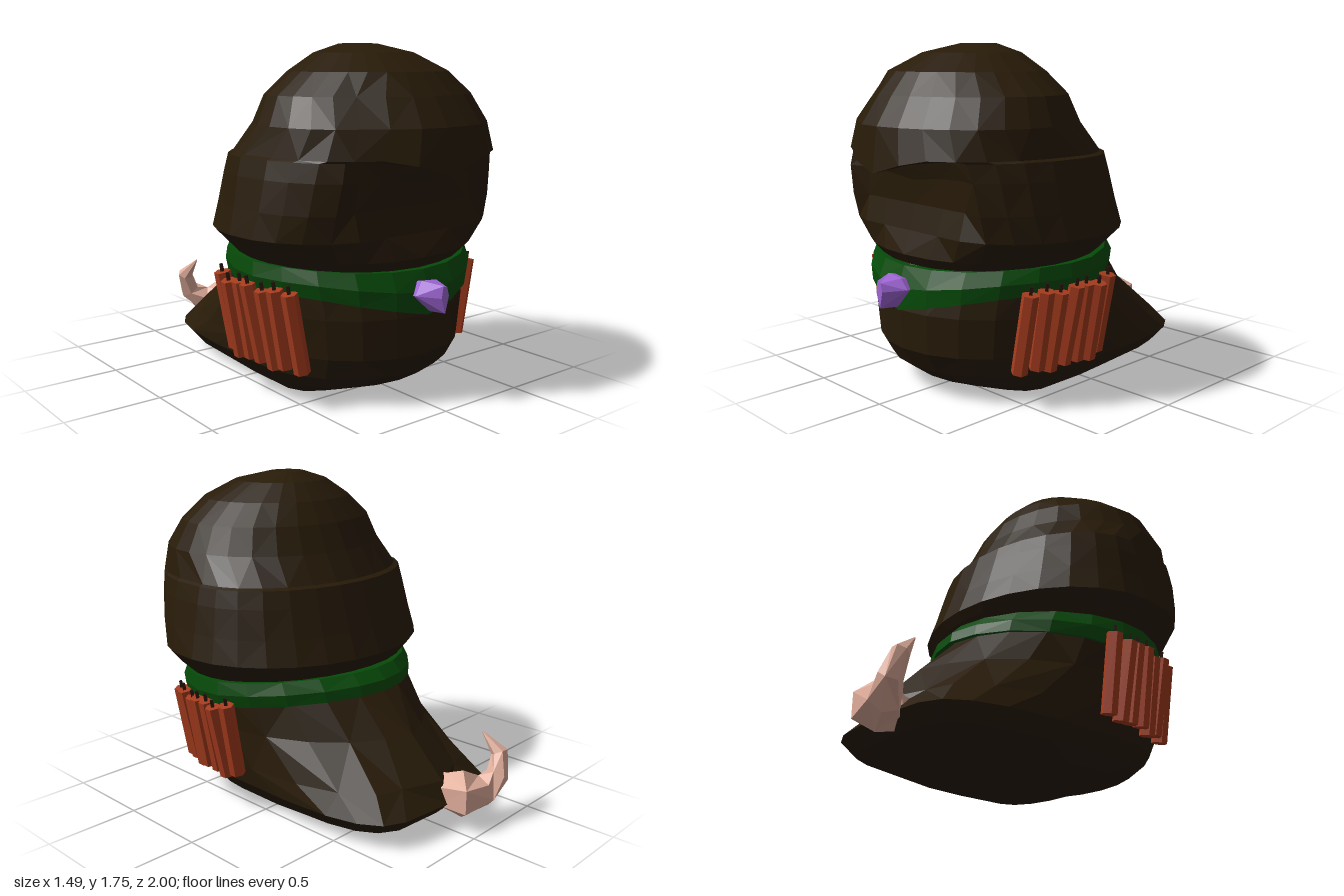
import * as THREE from 'three';

const paint = (name, color) => Object.assign(new THREE.MeshStandardMaterial({ color }), { name });
const V = (x, y, z) => new THREE.Vector3(x, y, z);

// Faceted closed skin through rings of points; corner order is made to face outward
function loft(rings) {
  const n = rings[0].length, tris = [];
  const mid = (r) => r.reduce((s, p) => s.add(p), V(0, 0, 0)).divideScalar(r.length);
  for (let i = 0; i < rings.length - 1; i++) {
    for (let j = 0; j < n; j++) {
      const k = (j + 1) % n, a = rings[i], b = rings[i + 1];
      if ((i + j) % 2) tris.push([a[j], b[j], b[k]], [a[j], b[k], a[k]]);
      else tris.push([a[j], b[j], a[k]], [a[k], b[j], b[k]]);
    }
  }
  const first = rings[0], last = rings[rings.length - 1];
  const c0 = mid(first), c1 = mid(last);
  for (let j = 0; j < n; j++) {
    const k = (j + 1) % n;
    tris.push([c0, first[j], first[k]], [c1, last[k], last[j]]);
  }
  let volume = 0;
  for (const [a, b, c] of tris) volume += a.dot(b.clone().cross(c));
  const pos = [];
  for (const t of tris) for (const p of volume < 0 ? [t[0], t[2], t[1]] : t) pos.push(p.x, p.y, p.z);
  const g = new THREE.BufferGeometry();
  g.setAttribute('position', new THREE.Float32BufferAttribute(pos, 3));
  g.computeVertexNormals();
  return g;
}

// Horizontal ring: half width, back z, front z, z of the widest place, squareness of back and front
function ring(y, rx, zb, zf, cz, nBack = 2, nFront = 2, count = 22) {
  return Array.from({ length: count }, (_, i) => {
    const a = (i / count) * Math.PI * 2 + Math.PI / 2;
    const c = Math.cos(a), s = Math.sin(a), e = 2 / (s < 0 ? nBack : nFront);
    return V(Math.sign(c) * Math.abs(c) ** e * rx, y,
      cz + Math.sign(s) * Math.abs(s) ** e * (s > 0 ? zf - cz : cz - zb));
  });
}

function add(parent, name, geometry, material) {
  const m = new THREE.Mesh(geometry, material);
  m.name = name;
  parent.add(m);
  return m;
}

export function createModel() {
  const cloth = paint('dark brown cloth', 0x281b08);
  const green = paint('green scarf', 0x064a08);
  const red = paint('red sticks', 0xa63c1e);
  const fuse = paint('dark fuse', 0x2a150c);
  const pink = paint('pink skin', 0xe0ad9b);
  const purple = paint('purple gem', 0xa167d8);
  const model = new THREE.Group();
  model.name = 'hoodedFigure';

  // Robe, flaring low down into two lobes behind
  const robe = [
    [0.0, 0.42, -0.52, 0.53, 3.5], [0.06, 0.49, -0.76, 0.67, 4.5], [0.14, 0.555, -0.84, 0.78, 4.3],
    [0.25, 0.58, -0.79, 0.85, 2.6], [0.45, 0.61, -0.59, 0.86, 1.8], [0.64, 0.63, -0.39, 0.82, 1.8],
    [0.74, 0.6, -0.3, 0.74, 1.8],
  ].map(([y, rx, zb, zf, n]) => ring(y, rx, zb, zf, 0.25, n));
  for (const p of robe[0]) p.y += 0.035 * Math.max(0, 1 - Math.abs(p.x) / 0.38) * (p.z > 0 ? 1 : 0.3);
  // Shallow folds either side of a central ridge on the back slope
  for (const r of robe.slice(2, 5)) for (const p of r)
    if (p.z < -0.3) p.z += 0.05 * Math.exp(-(((Math.abs(p.x) - 0.22) / 0.07) ** 2));
  add(model, 'robe', loft(robe), cloth);

  // Hood with an overhanging pointed brow, full cheeks and a face set back in the opening
  const hood = [
    // y, half width, back, front, depth limit of the face, brow lift, front squareness
    [0.70, 0.61, -0.28, 0.79, 1, 0, 2.1], [0.76, 0.67, -0.33, 0.83, 1, 0, 2.2],
    [0.84, 0.745, -0.36, 0.85, 0.79, 0, 2.4], [0.97, 0.72, -0.31, 0.88, 0.76, 0, 2.6],
    [1.09, 0.695, -0.26, 0.91, 0.77, 0.03, 2.6], [1.16, 0.675, -0.23, 0.94, 0.8, 0.05, 2.5],
    [1.14, 0.655, -0.2, 1.0, 1, 0.08, 2.35], [1.36, 0.615, -0.12, 0.97, 1, 0, 2.1],
    [1.5, 0.555, -0.05, 0.88, 1, 0, 2], [1.61, 0.42, 0.03, 0.79, 1, 0, 2],
    [1.70, 0.26, 0.13, 0.62, 1, 0, 2], [1.745, 0.1, 0.24, 0.42, 1, 0, 2],
  ].map(([y, rx, zb, zf, face, lift, square]) => {
    const r = ring(y, rx, zb, zf, y < 1.3 ? 0.27 : (zb + zf) / 2, 2, square, 28);
    for (const p of r) {
      const ax = Math.abs(p.x);
      // The lower edge dips towards the front
      if (y < 0.8) p.y -= 0.06 * (p.z - 0.25);
      p.y += lift * (p.z > 0.3 ? Math.min(1, ax / 0.28) : 1);
      if (p.z > 0.3) {
        if (ax < 0.42) p.z = Math.min(p.z, face);
        // The brow is pushed in a little on the right
        if (y > 1.1 && y < 1.55) p.z -= 0.05 * Math.exp(-(((p.x + 0.36) / 0.14) ** 2));
      }
    }
    return r;
  });
  add(model, 'hood', loft(hood), cloth);

  // Scarf, drooping to a point in front
  const band = [
    // share of height, half width, back, front
    [0, 0.55, -0.28, 0.74], [0, 0.65, -0.41, 0.87], [0.5, 0.67, -0.4, 0.87],
    [1, 0.66, -0.345, 0.83], [1, 0.55, -0.25, 0.7],
  ].map(([t, rx, zb, zf]) => {
    const r = ring(0, rx, zb, zf, 0.25, 1.8);
    for (const p of r) {
      const f = Math.max(0, p.z - 0.25) / (zf - 0.25), b = Math.max(0, 0.25 - p.z) / (0.25 - zb);
      const droop = p.z > 0.25 ? Math.max(0, 1 - Math.abs(p.x) / 0.55) : 0;
      const low = 0.57 - 0.12 * droop + 0.08 * b, high = 0.71 - 0.04 * f ** 2 + 0.05 * b;
      p.y = low + (high - low) * t;
    }
    return r;
  });
  add(model, 'scarf', loft(band), green);

  // Cut gem on the scarf, narrowing to an upright front edge
  const outline = [[-0.06, 0.63], [0.04, 0.62], [0.09, 0.57], [0, 0.47], [-0.1, 0.56]];
  const gemRing = (z, sx, sy) => outline.map(([x, y]) => V(x * sx, 0.54 + (y - 0.54) * sy, z));
  add(model, 'gem', loft([gemRing(0.8, 0.8, 0.8), gemRing(0.88, 1, 1), gemRing(0.98, 0.25, 0.85)]), purple);

  // Row of leaning sticks with short fuses on each hip
  const stickGeo = new THREE.CylinderGeometry(0.042, 0.042, 0.41, 6).toNonIndexed();
  const fuseGeo = new THREE.CylinderGeometry(0.01, 0.012, 0.06, 4).toNonIndexed();
  stickGeo.computeVertexNormals();
  fuseGeo.computeVertexNormals();
  for (const side of [1, -1]) {
    const bundle = new THREE.Group();
    bundle.name = side > 0 ? 'leftSticks' : 'rightSticks';
    for (let i = 0; i < 7; i++) {
      const stick = new THREE.Group(), t = i / 6;
      stick.name = 'stick';
      add(stick, 'stickBody', stickGeo, red);
      add(stick, 'fuse', fuseGeo, fuse).position.y = 0.215;
      const out = 0.565 + 0.08 * Math.sin(t * Math.PI * 0.6) + (i % 2) * 0.01;
      stick.position.set(side * out, 0.385 + 0.02 * t + 0.012 * Math.sin(i * 2.3), 0.555 - 0.46 * t);
      stick.rotation.set(0.03 * Math.sin(i * 1.7), 0, -side * (0.19 + 0.04 * Math.sin(i * 3.1)));
      bundle.add(stick);
    }
    model.add(bundle);
  }

  // Tail curling sideways and up from under the hem
  const path = [
    [-0.07, 0.17, -0.68, 0.08], [-0.07, 0.17, -0.78, 0.1], [-0.07, 0.18, -0.87, 0.13],
    [-0.2, 0.17, -0.91, 0.085], [-0.28, 0.24, -0.94, 0.06], [-0.32, 0.35, -0.92, 0.045],
    [-0.29, 0.45, -0.83, 0.004],
  ];
  const spine = path.map(([x, y, z]) => V(x, y, z));
  const tail = spine.map((p, i) => {
    const dir = spine[Math.min(i + 1, 6)].clone().sub(spine[Math.max(i - 1, 0)]).normalize();
    const u = V(1, 0, -0.6).cross(dir).normalize(), w = dir.clone().cross(u);
    return Array.from({ length: 6 }, (_, j) => {
      const a = (j / 6) * Math.PI * 2;
      return p.clone().addScaledVector(u, path[i][3] * Math.cos(a)).addScaledVector(w, path[i][3] * Math.sin(a));
    });
  });
  // Keep the rings from twisting where the tail turns
  for (let i = 1; i < tail.length; i++) {
    const gap = (s) => tail[i].reduce((d, _, j) => d + tail[i][(j + s) % 6].clone().sub(spine[i])
      .distanceTo(tail[i - 1][j].clone().sub(spine[i - 1])), 0);
    const best = [0, 1, 2, 3, 4, 5].sort((a, b) => gap(a) - gap(b))[0];
    tail[i] = tail[i].map((_, j) => tail[i][(j + best) % 6]);
  }
  add(model, 'tail', loft(tail), pink);

  return model;
}
